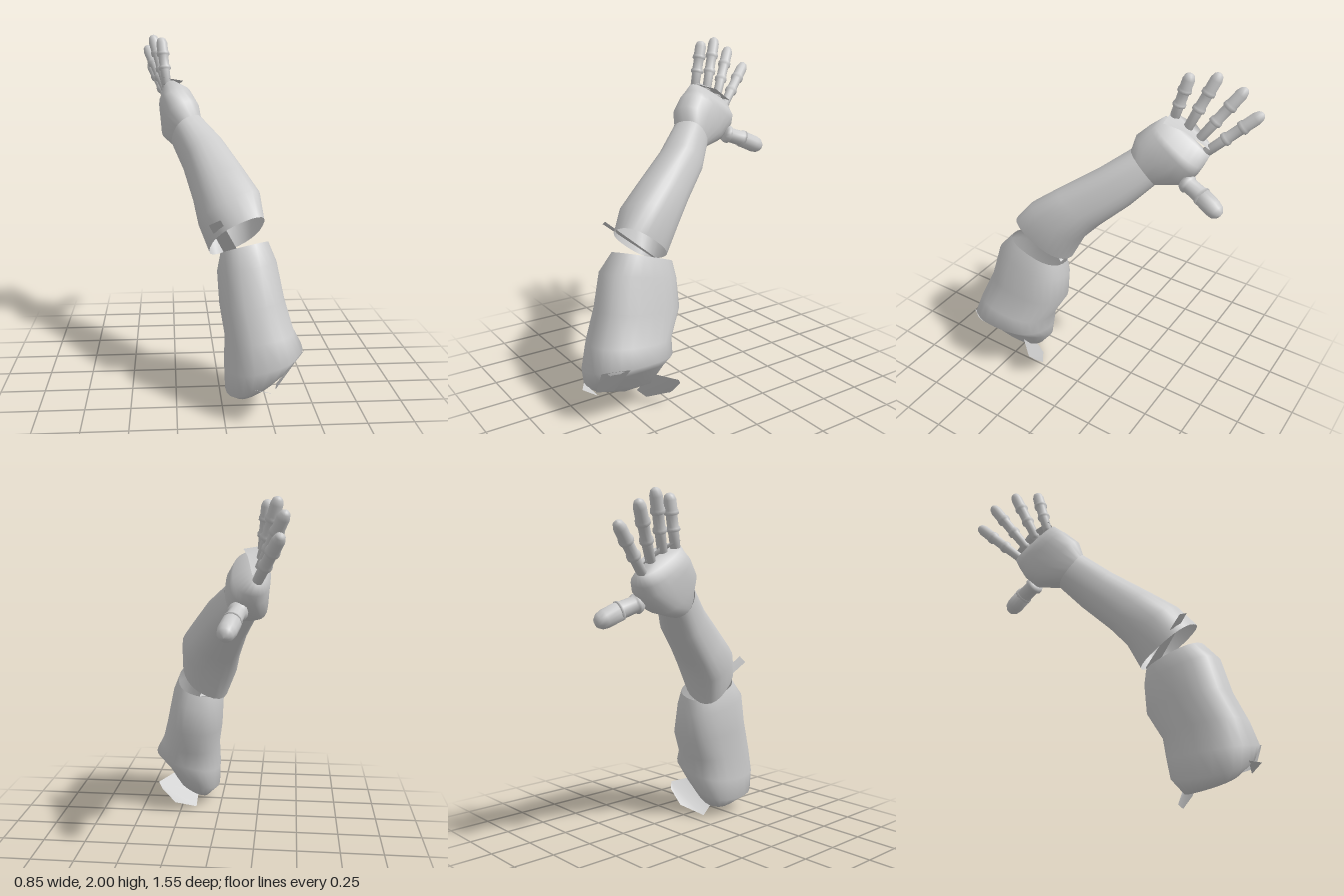
import * as THREE from 'three';

const mat = new THREE.MeshStandardMaterial({ color: 0xcccccc, side: THREE.DoubleSide });
const V = (p) => new THREE.Vector3(...p);

function addMesh(group, name, geometry) {
  const mesh = new THREE.Mesh(geometry, mat);
  mesh.name = name;
  group.add(mesh);
  return mesh;
}

// Skin over slightly squared rings, each [centre, half axis u, half axis v]; optional end cap points
function loft(rings, { start, end, sides = 24, power = 0.82 } = {}) {
  const pos = [], idx = [];
  const square = (t) => Math.sign(t) * Math.abs(t) ** power;
  for (const [c, u, v] of rings)
    for (let j = 0; j < sides; j++) {
      const a = (j / sides) * Math.PI * 2;
      const p = square(Math.cos(a)), q = square(Math.sin(a));
      for (let k = 0; k < 3; k++) pos.push(c[k] + u[k] * p + v[k] * q);
    }
  for (let i = 0; i < rings.length - 1; i++)
    for (let j = 0; j < sides; j++) {
      const k = (j + 1) % sides, a = i * sides, b = a + sides;
      idx.push(a + j, b + j, b + k, a + j, b + k, a + k);
    }
  const cap = (point, ring, flip) => {
    const centre = pos.length / 3;
    pos.push(...point);
    for (let j = 0; j < sides; j++) {
      const p = ring * sides + j, q = ring * sides + (j + 1) % sides;
      idx.push(centre, flip ? q : p, flip ? p : q);
    }
  };
  if (start) cap(start, 0, false);
  if (end) cap(end, rings.length - 1, true);
  return shell(pos, idx);
}

function shell(pos, idx) {
  const g = new THREE.BufferGeometry();
  g.setAttribute('position', new THREE.Float32BufferAttribute(pos, 3));
  g.setIndex(idx);
  g.computeVertexNormals();
  return g;
}

// Thin loose plate, a fan over its corners
function plate(corners) {
  const idx = [];
  for (let i = 1; i < corners.length - 1; i++) idx.push(0, i, i + 1);
  return shell(corners.flat(), idx);
}

// Lathed rod from one point to another; profile is [radius, fraction of length]
function rod(group, name, from, to, r, profile) {
  const a = V(from), dir = V(to).sub(a), len = dir.length();
  const pts = profile.map(([w, t]) => new THREE.Vector2(w * r, t * len));
  const mesh = addMesh(group, name, new THREE.LatheGeometry(pts, 14));
  mesh.position.copy(a);
  mesh.quaternion.setFromUnitVectors(new THREE.Vector3(0, 1, 0), dir.normalize());
}

export function createModel() {
  const arm = new THREE.Group();
  arm.name = 'armouredArm';

  // Upper arm, closed and rounded at the shoulder, open at the elbow
  addMesh(arm, 'upperArm', loft([
    [[.185, .12, .5], [.11, .06, 0], [0, .02, .15]],
    [[.19, .2, .505], [.175, .09, 0], [0, 0, .225]],
    [[.22, .3, .5], [.21, .055, 0], [0, 0, .25]],
    [[.2, .42, .475], [.185, .02, 0], [0, .02, .24]],
    [[.165, .58, .4], [.175, .02, 0], [0, .03, .245]],
    [[.14, .76, .375], [.16, .03, 0], [0, .05, .22]],
    [[.13, .855, .34], [.13, .03, 0], [0, .055, .17]],
  ], { start: [.19, .1, .5] }));

  // Forearm, tapering from the elbow to the wrist
  addMesh(arm, 'forearm', loft([
    [[.09, .915, .325], [.145, .06, 0], [.02, .115, .15]],
    [[.055, 1.05, .245], [.165, .06, -.03], [.025, .1, .145]],
    [[.005, 1.16, .125], [.14, .05, -.04], [.025, .1, .122]],
    [[-.075, 1.315, -.06], [.112, .035, -.05], [.025, .1, .092]],
    [[-.165, 1.44, -.19], [.085, .02, -.05], [.025, .095, .07]],
  ]));

  // Palm, staying broad and then stepping in to the knuckles
  addMesh(arm, 'palm', loft([
    [[-.16, 1.43, -.185], [.08, .02, -.047], [.025, .09, .066]],
    [[-.2, 1.495, -.27], [.11, .03, -.04], [.02, .12, .14]],
    [[-.22, 1.57, -.345], [.105, .02, -.03], [0, .11, .15]],
    [[-.23, 1.605, -.37], [.098, .02, -.02], [0, .095, .15]],
    [[-.265, 1.65, -.4], [.045, .02, -.01], [0, .08, .14]],
  ], { end: [-.27, 1.66, -.41] }));

  // Fingers with raised bands at the joints
  const fingerProfile = [
    [0, 0], [.8, 0], [.85, .3], [1.1, .32], [1.1, .37], [.9, .4], [.9, .6],
    [1.15, .62], [1.15, .67], [1, .7], [1, .88], [.75, .96], [.4, .99], [0, 1],
  ];
  [
    [[-.28, 1.71, -.3], [-.31, 1.985, -.37]],
    [[-.28, 1.69, -.39], [-.365, 2, -.51]],
    [[-.275, 1.645, -.465], [-.405, 1.935, -.65]],
    [[-.265, 1.585, -.515], [-.385, 1.83, -.765]],
  ].forEach(([a, b], i) => rod(arm, `finger${i + 1}`, a, b, .034, fingerProfile));

  // Thumb: base collar and two segments with a slight bend
  rod(arm, 'thumbBase', [-.17, 1.43, -.445], [-.14, 1.385, -.575], .05,
    [[0, 0], [.9, 0], [1.1, .15], [1.1, .25], [.9, .3], [.95, .85], [1.08, .9], [1.08, 1], [0, 1]]);
  rod(arm, 'thumbTip', [-.145, 1.39, -.56], [-.11, 1.325, -.7], .052,
    [[0, 0], [1, 0], [1, .6], [.85, .82], [.5, .95], [0, 1]]);

  // Loose plates at the shoulder, elbow and knuckles
  addMesh(arm, 'shoulderRearPlate', plate([
    [.39, .19, .27], [.3, .22, .38], [.15, .06, .4], [.155, 0, .34], [.28, .06, .25], [.36, .15, .24]]));
  addMesh(arm, 'shoulderSidePlate', plate([
    [.43, .36, .6], [.415, .36, .64], [.35, .34, .73], [.26, .19, .72], [.28, .18, .62]]));
  addMesh(arm, 'shoulderFrontPlate', plate([[.14, .2, .73], [.21, .2, .775], [.25, .16, .7]]));
  addMesh(arm, 'elbowStrap', plate([
    [-.07, 1.015, .475], [-.01, 1.045, .49], [.115, .79, .2], [.03, .79, .2]]));
  addMesh(arm, 'knucklePlate', plate([
    [-.3, 1.75, -.28], [-.18, 1.73, -.29], [-.21, 1.7, -.41], [-.24, 1.62, -.54], [-.28, 1.61, -.55], [-.3, 1.71, -.43]]));

  return arm;
}
